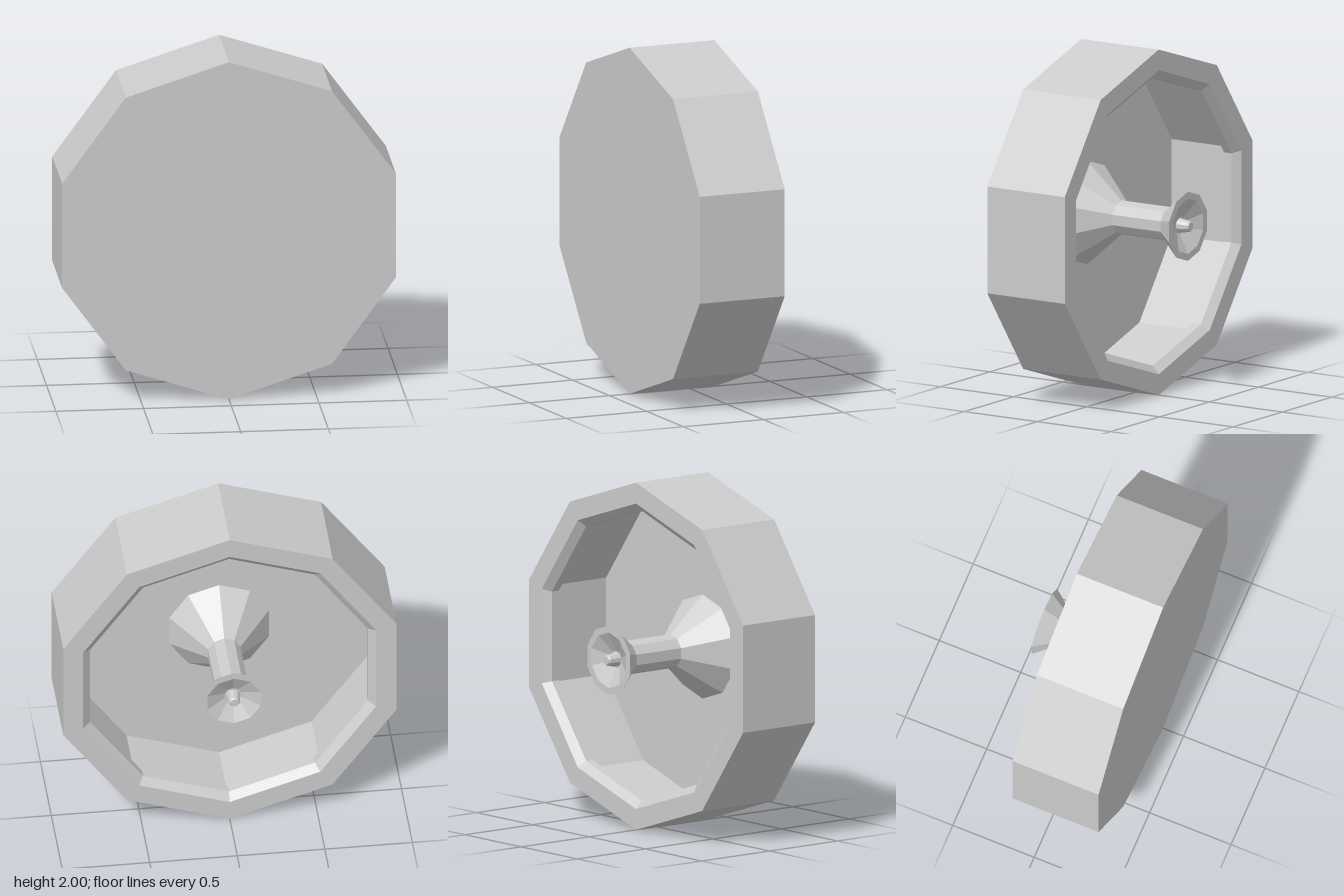
import * as THREE from 'three';

const SIDES = 10;

// Ten-sided turned part: profile pairs are [radius, distance toward the back]
function turned(name, profile, material) {
  const points = profile.map(([r, h]) => new THREE.Vector2(r, h));
  const geometry = new THREE.LatheGeometry(points, SIDES);
  geometry.rotateX(-Math.PI / 2); // axis along z, one corner pointing up
  const mesh = new THREE.Mesh(geometry, material);
  mesh.name = name;
  mesh.position.y = 1;
  return mesh;
}

export function createModel() {
  const group = new THREE.Group();
  group.name = 'wheel';
  const material = new THREE.MeshStandardMaterial({ color: 0xcccccc, flatShading: true });

  // Closed front, outer wall, bevelled back lip, undercut and inner floor
  group.add(turned('rim', [
    [0, -0.375], [1, -0.375], [1, 0.155],
    [0.88, 0.155], [0.835, 0.115], [0.835, 0.065], [0.9, 0.065],
    [0.9, -0.335], [0, -0.335],
  ], material));

  // Flared foot narrowing to a straight shaft
  group.add(turned('axle', [
    [0.3, -0.335], [0.098, -0.1], [0.098, 0.23],
  ], material));

  // Flared end cap with a dished face
  group.add(turned('hubCap', [
    [0.098, 0.23], [0.2, 0.355], [0.16, 0.355], [0.05, 0.3], [0, 0.3],
  ], material));

  // Small tapered pin in the middle of the dish
  group.add(turned('pin', [
    [0.042, 0.3], [0.032, 0.365], [0.025, 0.375], [0, 0.375],
  ], material));

  return group;
}
